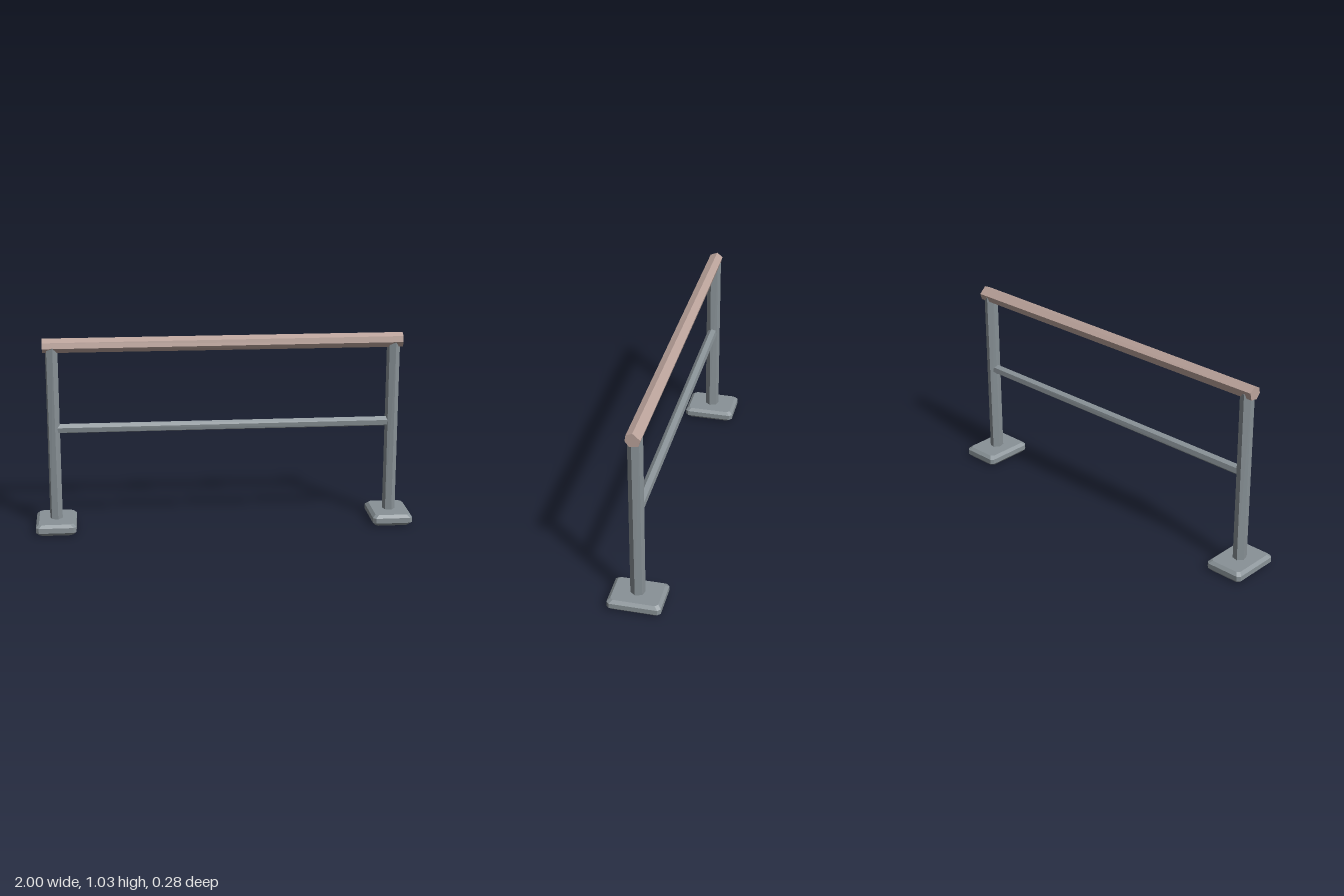
import * as THREE from 'three';

// Faceted solid through a row of matching rings (counter-clockwise about the travel direction)
function loft(rings) {
  const pos = [];
  const tri = (a, b, c) => pos.push(...a, ...b, ...c);
  const n = rings[0].length;
  for (let i = 0; i < rings.length - 1; i++) {
    for (let j = 0; j < n; j++) {
      const k = (j + 1) % n;
      tri(rings[i][j], rings[i][k], rings[i + 1][k]);
      tri(rings[i][j], rings[i + 1][k], rings[i + 1][j]);
    }
  }
  const first = rings[0], last = rings[rings.length - 1];
  for (let j = 1; j < n - 1; j++) {
    tri(first[0], first[j + 1], first[j]);
    tri(last[0], last[j], last[j + 1]);
  }
  const geo = new THREE.BufferGeometry();
  geo.setAttribute('position', new THREE.Float32BufferAttribute(pos, 3));
  geo.computeVertexNormals();
  return geo;
}

// Rectangle with cut corners in the ground plane
function plateRing(y, inset, cut = 0.015) {
  const w = 0.106 - inset, d = 0.138 - inset;
  return [
    [w - cut, y, d], [w, y, d - cut], [w, y, cut - d], [w - cut, y, -d],
    [cut - w, y, -d], [-w, y, cut - d], [-w, y, d - cut], [cut - w, y, d],
  ];
}

export function createModel() {
  const steel = new THREE.MeshStandardMaterial({ color: 0x899297 });
  steel.name = 'greySteel';
  const wood = new THREE.MeshStandardMaterial({ color: 0xbca49c });
  wood.name = 'paleWood';

  const model = new THREE.Group();
  model.name = 'barrier';
  const add = (name, geo, mat, parent = model) => {
    const mesh = new THREE.Mesh(geo, mat);
    mesh.name = name;
    parent.add(mesh);
  };

  // Two posts, each on a chamfered foot plate
  const postRing = (y, turn) => [0, 1, 2, 3, 4, 5].map((i) => {
    const a = i * Math.PI / 3 + turn;
    return [0.034 * Math.sin(a), y, 0.038 * Math.cos(a)];
  });
  for (const [side, s] of [['left', 1], ['right', -1]]) {
    const leg = new THREE.Group();
    leg.name = side + 'Leg';
    leg.position.x = s * 0.894;
    add('footPlate', loft([
      plateRing(0, 0.017), plateRing(0.018, 0), plateRing(0.045, 0), plateRing(0.06, 0.016),
    ]), steel, leg);
    add('post', loft([postRing(0.05, 0.3), postRing(0.985, 0.22)]), steel, leg);
    model.add(leg);
  }

  // Middle crossbar
  const barRing = (x, turn) => [0, 1, 2, 3, 4, 5].map((i) => {
    const a = i * Math.PI / 3 + turn;
    return [x, 0.549 + 0.027 * Math.cos(a), 0.027 * Math.sin(a)];
  });
  add('crossbar', loft([barRing(-0.875, 0.2), barRing(0.875, 0.12)]), steel);

  // Slightly twisted, uneven six-sided top rail: [y, z] around each end
  const leftEnd = [[1.029, -0.008], [1.012, 0.03], [0.982, 0.036], [0.957, 0.014], [0.964, -0.028], [1.004, -0.038]];
  const rightEnd = [[1.03, 0.0], [1.015, 0.033], [0.984, 0.038], [0.955, 0.018], [0.962, -0.028], [0.995, -0.038]];
  const railRing = (x, pts) => pts.map(([y, z]) => [x, y, z]);
  add('topRail', loft([railRing(-0.94, leftEnd), railRing(0.94, rightEnd)]), wood);

  return model;
}
